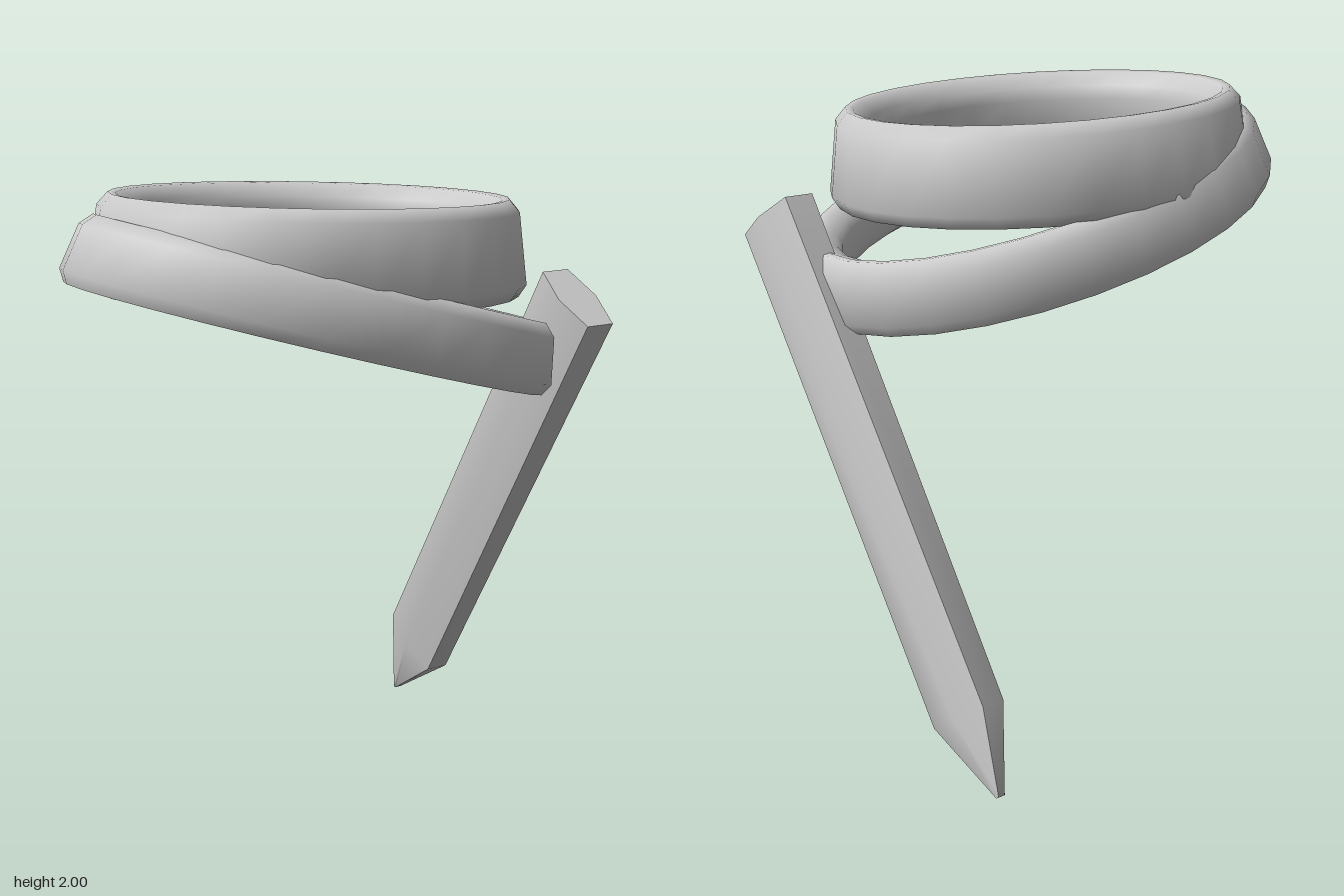
import * as THREE from 'three';
import { toCreasedNormals } from 'three/addons/utils/BufferGeometryUtils.js';

const material = new THREE.MeshStandardMaterial({ color: 0xcccccc });

// Skin a list of cross-sections, either as a closed loop or with end caps
function loft(sections, closed) {
  const n = sections[0].length;
  const count = sections.length;
  const index = [];
  for (let i = 0; i < (closed ? count : count - 1); i++) {
    const a = i * n;
    const b = ((i + 1) % count) * n;
    for (let j = 0; j < n; j++) {
      const k = (j + 1) % n;
      index.push(a + j, a + k, b + j, a + k, b + k, b + j);
    }
  }
  if (!closed) {
    const last = (count - 1) * n;
    for (let j = 1; j < n - 1; j++) {
      index.push(0, j + 1, j, last, last + j, last + j + 1);
    }
  }
  const geometry = new THREE.BufferGeometry().setFromPoints(sections.flat());
  geometry.setIndex(index);
  return toCreasedNormals(geometry, 1.2);
}

// Oval band; rx and rz are the outer radii at mid height, flare widens the bottom
function band(name, rx, rz, height, thickness, flare) {
  const segments = 28;
  const h = height / 2;
  // Flat outside with small chamfers, rounded inside
  const profile = [
    [0, -h + 0.04], [0, h - 0.04], [-0.03, h], [-0.055, h - 0.004],
    [-thickness + 0.015, h * 0.7], [-thickness, h * 0.4],
    [-thickness, -h * 0.4], [-thickness + 0.015, -h * 0.7],
    [-0.055, -h + 0.004], [-0.03, -h],
  ];
  const sections = [];
  for (let i = 0; i < segments; i++) {
    const a = (i / segments) * Math.PI * 2;
    sections.push(profile.map(([r, y]) => {
      const offset = r - (flare * y) / h;
      return new THREE.Vector3((rx + offset) * Math.cos(a), y, (rz + offset) * Math.sin(a));
    }));
  }
  const mesh = new THREE.Mesh(loft(sections, true), material);
  mesh.name = name;
  return mesh;
}

// Hanging strap, thicker along its middle, with a pointed end
function strap() {
  const top = new THREE.Vector3(0.793, 1.615, 0.385);
  const shoulder = new THREE.Vector3(0.662, 0.225, -0.655);
  const tip = new THREE.Vector3(0.637, 0.005, -0.815);
  const along = shoulder.clone().sub(top).normalize();
  const across = new THREE.Vector3(0.06, -0.17, 0.23);
  across.addScaledVector(along, -across.dot(along)).normalize();
  const out = along.clone().cross(across);
  const profile = [
    [0.143, -0.053], [0.143, 0.053], [0, 0.079],
    [-0.143, 0.053], [-0.143, -0.053], [0, -0.079],
  ];
  const section = (centre, w, t) => profile.map(([u, v]) =>
    centre.clone().addScaledVector(across, u * w).addScaledVector(out, v * t));
  const sections = [section(top, 1, 1), section(shoulder, 1, 0.78), section(tip, 0.04, 0.22)];
  const mesh = new THREE.Mesh(loft(sections, false), material);
  mesh.name = 'hangingStrap';
  return mesh;
}

export function createModel() {
  const group = new THREE.Group();
  group.name = 'wrappedBelt';

  // Upper loop, tipped slightly toward the front
  const upper = band('upperBand', 0.717, 0.622, 0.315, 0.12, 0.022);
  upper.position.set(-0.073, 1.8, 0.154);
  upper.rotation.x = 0.074;
  group.add(upper);

  // Lower loop, sloping down to the model's left
  const lower = band('lowerBand', 0.838, 0.662, 0.235, 0.13, 0.022);
  lower.position.set(-0.05, 1.597, 0.15);
  lower.rotation.set(0.045, 0, -0.235);
  group.add(lower);

  group.add(strap());
  return group;
}
